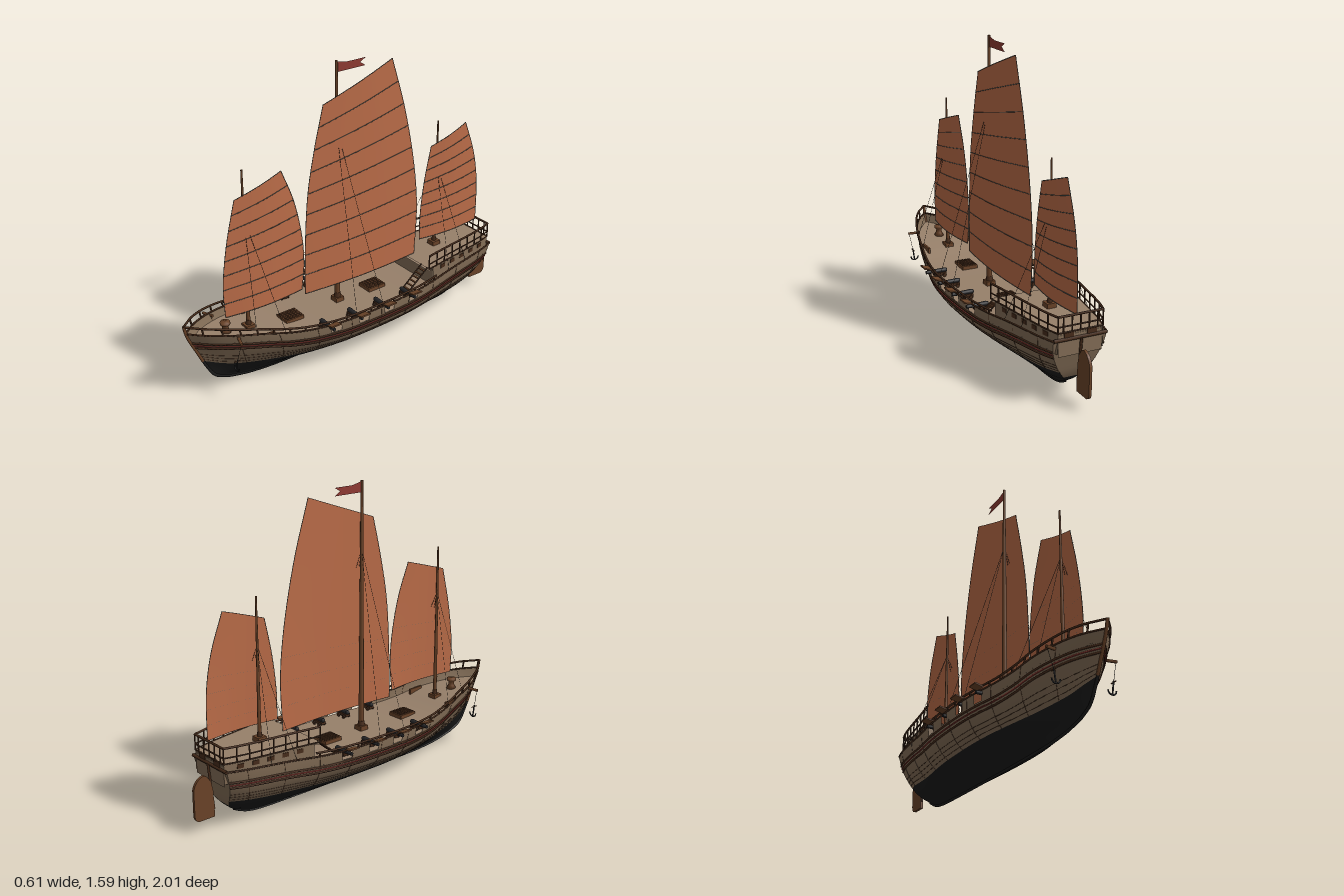
import * as THREE from 'three';

const mat = (name, color) => new THREE.MeshStandardMaterial({ name, color, side: THREE.DoubleSide });
const M = {
  plank: mat('hull planks', 0x846e57), deck: mat('deck planks', 0x97806a), tar: mat('tarred bottom', 0x1b1b1b),
  trim: mat('dark trim', 0x472c1b), wood: mat('brown wood', 0x6a4328), sail: mat('sail cloth', 0xba6c48),
  batten: mat('battens', 0x4f5a58), iron: mat('iron', 0x262628), flag: mat('flag red', 0x8f3a32), rope: mat('rope', 0x33291f),
};
const V = (x, y, z) => new THREE.Vector3(x, y, z);
const lerp = THREE.MathUtils.lerp;

// smooth interpolation through [position, value] pairs
function curve(p) {
  const slope = i => {
    const a = p[Math.max(i - 1, 0)], b = p[Math.min(i + 1, p.length - 1)];
    return (b[1] - a[1]) / (b[0] - a[0]);
  };
  return x => {
    x = Math.min(Math.max(x, p[0][0]), p[p.length - 1][0]);
    let i = 0;
    while (i < p.length - 2 && x > p[i + 1][0]) i++;
    const h = p[i + 1][0] - p[i][0], t = (x - p[i][0]) / h, s = t * t * (3 - 2 * t);
    return lerp(p[i][1], p[i + 1][1], s) + h * (t * (1 - t) ** 2 * slope(i) - t * t * (1 - t) * slope(i + 1));
  };
}

// hull lines, all by z at deck level
const beam = curve([[-.9, .14], [-.8, .166], [-.5, .213], [-.24, .252], [.1, .263], [.3, .25], [.58, .195], [.77, .143], [.91, .075], [1, 0]]);
const sheer = curve([[-.9, .34], [-.6, .325], [-.38, .308], [0, .302], [.4, .303], [.55, .32], [.67, .348], [.85, .375], [1, .39]]);
const railGap = curve([[-.42, .02], [.4, .02], [.7, .032], [.85, .04], [1, .042]]);
const keel = curve([[-.9, .06], [-.8, .025], [-.6, .012], [.6, .012], [.85, .026], [1, .05]]);
const paint = curve([[-.9, .15], [-.6, .125], [0, .115], [.5, .12], [.85, .15], [1, .2]]);
const fullness = curve([[-.9, 2.0], [-.4, 2.4], [.4, 2.4], [1, 1.35]]);
const stem = curve([[.05, .76], [.085, .835], [.15, .882], [.25, .93], [.37, .985], [.43, 1]]);
const stern = curve([[.06, -.77], [.09, -.81], [.13, -.84], [.2, -.862], [.34, -.9]]);
const deckY = z => sheer(z) - .05;

// point on the hull side at station z and height y
function hull(z, y, side = 1, out = 0) {
  const k = keel(z), t = Math.min(Math.max((y - k) / (sheer(z) - k), 0), 1);
  const x = beam(z) * (1 - (1 - t) ** fullness(z));
  return V(side * (x + out), y, lerp(stern(y), stem(y), (z + .9) / 1.9));
}

function add(parent, name, geo, material, pos) {
  const m = new THREE.Mesh(geo, material);
  m.name = name;
  if (pos) m.position.set(...pos);
  parent.add(m);
  return m;
}
const box = (g, name, m, size, pos) => add(g, name, new THREE.BoxGeometry(...size), m, pos);

function rod(g, name, m, a, b, r0, r1 = r0, n = 6) {
  const d = b.clone().sub(a);
  const c = add(g, name, new THREE.CylinderGeometry(r1, r0, d.length(), n), m);
  c.position.copy(a).addScaledVector(d, .5);
  c.quaternion.setFromUnitVectors(V(0, 1, 0), d.normalize());
  return c;
}
function grid(g, name, m, nu, nv, fn) {
  const pos = [], idx = [];
  for (let i = 0; i <= nu; i++) for (let j = 0; j <= nv; j++) pos.push(...fn(i / nu, j / nv).toArray());
  for (let i = 0; i < nu; i++) for (let j = 0; j < nv; j++) {
    const a = i * (nv + 1) + j, b = a + nv + 1;
    idx.push(a, b, a + 1, b, b + 1, a + 1);
  }
  const geo = new THREE.BufferGeometry();
  geo.setAttribute('position', new THREE.Float32BufferAttribute(pos, 3));
  geo.setIndex(idx);
  geo.computeVertexNormals();
  return add(g, name, geo, m);
}
function line(g, name, m, r, n, fn) {
  const pts = Array.from({ length: n + 1 }, (_, i) => fn(i / n));
  return add(g, name, new THREE.TubeGeometry(new THREE.CatmullRomCurve3(pts), n * 2, r, 5), m);
}

const PORTS = [-.235, -.055, .12, .297];

function buildHull(g) {
  const low = z => lerp(sheer(z), paint(z), .27);
  for (const s of [1, -1]) {
    const strip = (name, m, z0, z1, y0, y1, n, k) => grid(g, name, m, n, k, (u, v) => {
      const z = lerp(z0, z1, u);
      return hull(z, lerp(y0(z), y1(z), v), s);
    });
    strip('hullBottom', M.tar, -.9, 1, keel, paint, 48, 10);
    strip('hullSide', M.plank, -.9, 1, paint, low, 48, 8);
    // bulwark, left open at the gun ports
    const cuts = [-.9, ...PORTS.flatMap(z => [z - .032, z + .032]), 1];
    for (let i = 0; i < cuts.length; i += 2) strip('bulwark', M.plank, cuts[i], cuts[i + 1], low, sheer, i % 8 ? 4 : 20, 2);
    // wales, seams and cap rail
    const along = (name, m, r, yFn, z0 = -.9, z1 = 1, out = 0) =>
      line(g, name, m, r, 40, u => { const z = lerp(z0, z1, u); return hull(z, yFn(z), s, out); });
    along('upperWale', M.trim, .006, z => sheer(z) - .062);
    along('lowerWale', M.trim, .006, z => sheer(z) - .095);
    along('redStripe', M.flag, .004, z => sheer(z) - .079, -.9, 1, .001);
    for (const f of [.15, .35, .55]) along('plankSeam', M.trim, .0012, z => lerp(paint(z), sheer(z) - .1, f));
    along('capRail', M.trim, .005, sheer);
    // open rail on short posts, rising to the bow
    const railY = z => sheer(z) + railGap(z);
    along('upperRail', M.trim, .006, railY, -.42, 1);
    for (let z = -.4; z < .99; z += .0785) rod(g, 'railPost', M.trim, hull(z, sheer(z), s), hull(z, railY(z), s), .005);
    for (let z = -.8; z < .9; z += .2) line(g, 'frameSeam', M.trim, .0012, 6, v => hull(z, lerp(paint(z), sheer(z), v), s));
  }
  grid(g, 'mainDeck', M.deck, 40, 2, (u, v) => {
    const z = lerp(-.9, 1, u), p = hull(z, deckY(z));
    return p.setX(p.x * (v * 2 - 1));
  });
  // flat stern
  const across = (name, m, y0, y1) => grid(g, name, m, 8, 2, (u, v) => {
    const p = hull(-.9, lerp(y0, y1, u));
    return p.setX(p.x * (v * 2 - 1));
  });
  across('transomBottom', M.tar, .06, .11);
  across('transom', M.plank, .11, .34);
  line(g, 'stemPost', M.wood, .009, 10, u => hull(1, lerp(.2, .435, u)));
  line(g, 'stemFoot', M.tar, .008, 10, u => hull(1, lerp(.05, .2, u)));
  line(g, 'keelBeam', M.tar, .007, 30, u => { const z = lerp(-.9, 1, u); return hull(z, keel(z)); });
  rod(g, 'sternRail', M.trim, V(-.14, .34, -.9), V(.14, .34, -.9), .009);
}

function buildQuarterdeck(g) {
  const edge = (z, y, s) => V(s * (beam(z) - .022), y, z);
  const Y = .375, Z0 = -.385, Z1 = -.9;
  for (const y of [Y, Y - .012]) grid(g, 'quarterdeckFloor', M.deck, 14, 1, (u, v) => {
    const p = edge(lerp(Z0, Z1, u), y, 1);
    return p.setX(p.x * (v * 2 - 1));
  });
  const wall = z => grid(g, 'cabinEnd', M.plank, 1, 1, (u, v) => V((u * 2 - 1) * (beam(z) - .025), lerp(.255, Y, v), z));
  wall(-.42); wall(-.898);
  for (const s of [1, -1]) {
    grid(g, 'cabinSide', M.plank, 14, 1, (u, v) => edge(lerp(-.42, Z1, u), lerp(.27, Y, v), s));
    for (const y of [Y, .405, .455])
      line(g, 'quarterRail', M.trim, y > .45 ? .006 : .004, 14, u => edge(lerp(Z0, Z1, u), y, s));
    for (let i = 0; i <= 8; i++) {
      const z = lerp(Z0, Z1, i / 8);
      rod(g, 'quarterPost', M.trim, edge(z, Y, s), edge(z, .455, s), .004);
    }
    for (let i = 0; i < 5; i++) {
      const z = -.5 - i * .08, w = box(g, 'cabinWindow', M.trim, [.006, .022, .035], edge(z, .352, s).toArray());
      w.rotation.y = s * Math.atan(beam(z + .02) / .04 - beam(z - .02) / .04);
    }
    // ladder to the main deck
    for (const x of [.14, .19]) rod(g, 'ladderSide', M.trim, V(s * x, .26, -.25), V(s * x, Y, -.39), .004);
    for (let i = 1; i < 7; i++) box(g, 'ladderStep', M.wood, [.05, .005, .01], [s * .165, lerp(.26, Y, i / 7), lerp(-.25, -.39, i / 7)]);
    box(g, 'sternWindow', M.trim, [.05, .035, .008], [s * .06, .355, -.898]);
  }
  for (const y of [Y, .405, .455]) rod(g, 'crossRail', M.trim, edge(Z1, y, -1), edge(Z1, y, 1), y > .45 ? .006 : .004);
  for (let i = -2; i <= 2; i++) rod(g, 'sternPost', M.trim, V(i * .045, Y, Z1), V(i * .045, .455, Z1), .004);
}

function buildSail(g, name, luff, leech, panels) {
  const a = curve(luff), b = curve(leech);
  const H = f => [f[0][0], f[f.length - 1][0]];
  const [a0, a1] = H(luff), [b0, b1] = H(leech);
  const at = (u, v, o = 0) => {
    const ya = lerp(a0, a1, v), yb = lerp(b0, b1, v);
    return V(.018 + .02 * Math.sin(Math.PI * u) * (1 - .5 * v) + o, lerp(ya, yb, u), lerp(a(ya), b(yb), u));
  };
  grid(g, name, M.sail, 20, 24, (u, v) => at(u, v));
  // battens lie on one face of the cloth
  for (let i = 0; i <= panels; i++) line(g, 'batten', M.batten, .0018, 20, u => at(u, i / panels, .0016));
  for (const u of [0, 1]) line(g, 'boltRope', M.batten, .0015, 16, v => at(u, v));
}

function buildMast(g, z, base, top, r, shroudY, spread) {
  rod(g, 'mast', M.wood, V(0, base, z), V(0, top, z), r, r * .45, 10);
  box(g, 'mastStep', M.wood, [.05, .025, .05], [0, base + .012, z]);
  rod(g, 'mastCollar', M.trim, V(0, base + .02, z), V(0, base + .05, z), r * 1.4, r * 1.05, 10);
  for (const s of [1, -1]) for (const d of [-1, 1]) {
    const zz = z + d * spread, foot = hull(zz, sheer(zz), s);
    rod(g, 'shroud', M.rope, foot, V(0, shroudY, z), .0011, .0011, 4);
  }
}

function buildGun(g, z, s) {
  const gun = new THREE.Group();
  gun.name = 'cannon';
  rod(gun, 'barrel', M.iron, V(.165, .286, 0), V(.275, .286, 0), .013, .009, 10);
  add(gun, 'breech', new THREE.SphereGeometry(.012, 8, 6), M.iron, [.163, .286, 0]);
  box(gun, 'carriage', M.trim, [.07, .016, .03], [.195, .27, 0]);
  for (const x of [.175, .215]) for (const w of [-.019, .019]) rod(gun, 'wheel', M.trim, V(x, .262, w - .003), V(x, .262, w + .003), .01, .01, 10);
  const lid = box(gun, 'portLid', M.wood, [.045, .007, .06], [beam(z) + .022, .314, 0]);
  lid.rotation.z = .25;
  gun.position.z = z;
  if (s < 0) gun.rotation.y = Math.PI;
  g.add(gun);
}

function buildFittings(g) {
  for (const z of PORTS) for (const s of [1, -1]) buildGun(g, z, s);
  // grated hatches
  for (const z of [-.16, .38]) {
    const y = deckY(z);
    box(g, 'hatch', M.wood, [.09, .02, .11], [0, y + .01, z]);
    for (let i = -2; i <= 2; i++) {
      box(g, 'hatchBar', M.trim, [.006, .006, .1], [i * .016, y + .021, z]);
      box(g, 'hatchBar', M.trim, [.08, .006, .006], [0, y + .021, z + i * .02]);
    }
  }
  const cap = [[0, 0], [.03, 0], [.018, .02], [.015, .04], [.026, .048], [.026, .062], [0, .065]].map(p => new THREE.Vector2(...p));
  add(g, 'capstan', new THREE.LatheGeometry(cap, 12), M.wood, [0, deckY(.77), .77]);
  // catheads and hanging anchors
  for (const s of [1, -1]) {
    rod(g, 'cathead', M.wood, V(s * .12, .35, .77), V(s * .185, .345, .79), .008);
    rod(g, 'anchorCable', M.rope, V(s * .18, .345, .788), V(s * .155, .24, .8), .0012);
    rod(g, 'anchorShank', M.iron, V(s * .155, .245, .8), V(s * .145, .175, .8), .004);
    const arms = add(g, 'anchorArms', new THREE.TorusGeometry(.022, .004, 6, 12, Math.PI), M.iron, [s * .145, .197, .8]);
    arms.rotation.z = Math.PI;
    rod(g, 'anchorStock', M.wood, V(s * .154, .237, .78), V(s * .154, .237, .82), .003);
    box(g, 'bittPost', M.wood, [.012, .04, .09], [s * .14, deckY(.62) + .01, .62]);
  }
  // rudder blade
  const sh = new THREE.Shape();
  sh.moveTo(.885, .06);
  sh.lineTo(.975, .06);
  sh.quadraticCurveTo(1, .065, 1, .1);
  sh.lineTo(1, .23);
  sh.quadraticCurveTo(.985, .285, .94, .29);
  sh.quadraticCurveTo(.905, .28, .89, .2);
  const rud = add(g, 'rudder', new THREE.ExtrudeGeometry(sh, { depth: .014, bevelEnabled: false }), M.wood, [-.007, 0, 0]);
  rud.rotation.y = Math.PI / 2;
  rod(g, 'rudderStock', M.trim, V(0, .1, -.885), V(0, .34, -.91), .007);
  // swallowtail flag
  const fl = new THREE.Shape([[0, 1.53], [.175, 1.53], [.14, 1.552], [.175, 1.572], [.06, 1.572], [0, 1.585]].map(p => new THREE.Vector2(...p)));
  const flag = add(g, 'flag', new THREE.ShapeGeometry(fl), M.flag, [0, 0, .07]);
  flag.rotation.y = Math.PI / 2;
}

export function createModel() {
  const root = new THREE.Group();
  root.name = 'sailingShip';
  const part = (name, fn) => { const g = new THREE.Group(); g.name = name; fn(g); root.add(g); };
  part('hull', buildHull);
  part('quarterdeck', buildQuarterdeck);
  part('fittings', buildFittings);
  part('foreMast', g => {
    buildMast(g, .635, deckY(.635), 1.165, .011, .91, .07);
    buildSail(g, 'foreSail', [[.41, .775], [.58, .78], [.8, .75], [1.03, .695]], [[.41, .315], [.55, .3], [.72, .31], [.93, .355], [1.11, .425]], 8);
  });
  part('mainMast', g => {
    buildMast(g, .075, deckY(.075), 1.59, .015, 1.24, .09);
    buildSail(g, 'mainSail', [[.375, .295], [.61, .292], [.93, .27], [1.17, .225], [1.39, .17]], [[.375, -.44], [.66, -.45], [.93, -.42], [1.25, -.35], [1.54, -.26]], 9);
  });
  part('mizzenMast', g => {
    buildMast(g, -.6, .375, 1.115, .01, .87, .07);
    buildSail(g, 'mizzenSail', [[.45, -.475], [.61, -.477], [.8, -.5], [.99, -.54]], [[.45, -.895], [.69, -.89], [.88, -.855], [1.07, -.785]], 8);
  });
  return root;
}
